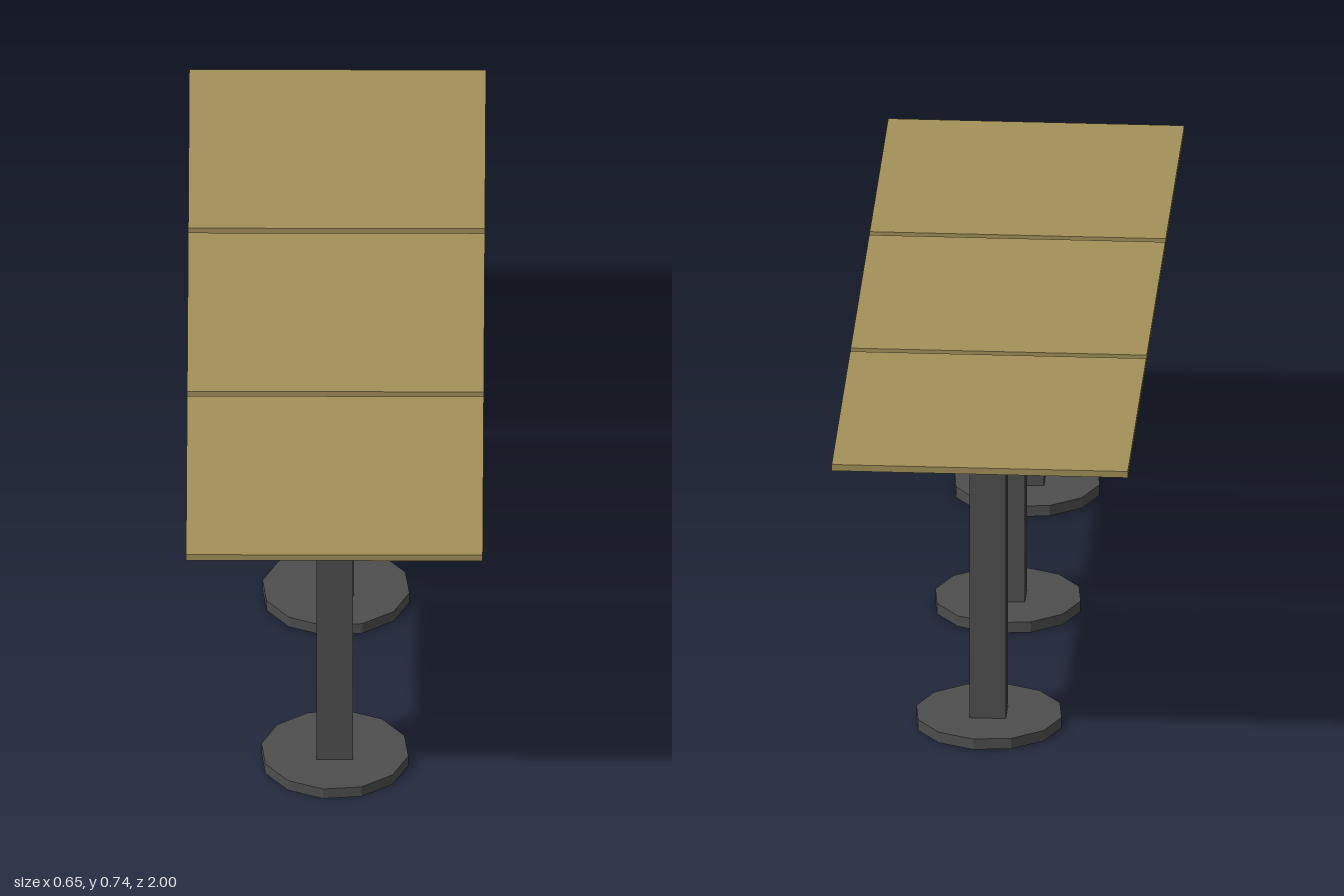
import * as THREE from 'three';

const wood = new THREE.MeshStandardMaterial({ color: 0xa39158, flatShading: true });
const metal = new THREE.MeshStandardMaterial({ color: 0x4d4d4d, flatShading: true });

const BASE_H = 0.025, TOP_Y = 0.725, TOP_H = 0.015, TOP_W = 0.654;

function part(name, geometry, material, y) {
  const mesh = new THREE.Mesh(geometry, material);
  mesh.name = name;
  mesh.position.y = y;
  return mesh;
}

// One pedestal table: faceted disc foot, square column, thin square top
function createTable() {
  const table = new THREE.Group();
  const disc = new THREE.CylinderGeometry(0.164, 0.164, BASE_H, 12, 1, false, THREE.MathUtils.degToRad(21));
  const column = new THREE.BoxGeometry(0.08, TOP_Y - BASE_H, 0.08);
  const board = new THREE.BoxGeometry(TOP_W, TOP_H, TOP_W);
  table.add(
    part('base', disc, metal, BASE_H / 2),
    part('column', column, metal, (TOP_Y + BASE_H) / 2),
    part('tabletop', board, wood, TOP_Y + TOP_H / 2)
  );
  return table;
}

export function createModel() {
  const model = new THREE.Group();
  model.name = 'tableRow';
  // Three tables in a row with narrow gaps
  ['backTable', 'middleTable', 'frontTable'].forEach((name, i) => {
    const table = createTable();
    table.name = name;
    table.position.z = (i - 1) * 0.673;
    model.add(table);
  });
  return model;
}
